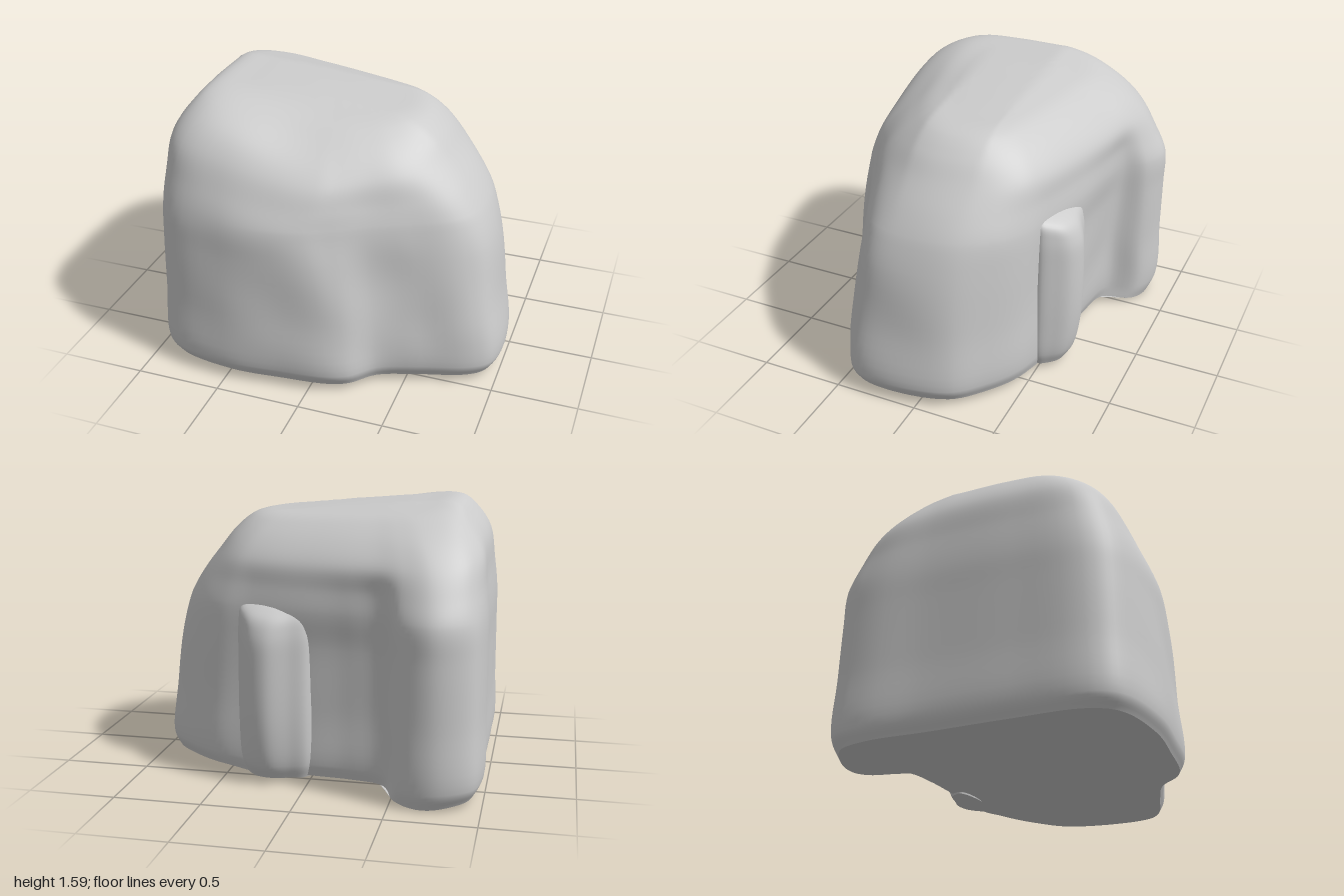
import * as THREE from 'three';

const material = new THREE.MeshStandardMaterial({ color: 0xcccccc });

// Plan outlines as x,z pairs: matching points, back -> right -> front -> left
const foot = [-0.99, -0.62, -0.94, -0.8, -0.75, -0.88, -0.55, -0.82, -0.46, -0.65, -0.25, -0.6, 0, -0.58, 0.35, -0.52,
  0.58, -0.47, 0.78, -0.34, 0.93, -0.18, 1, 0.15, 0.97, 0.39, 0.87, 0.48, 0.6, 0.57, 0.36, 0.66,
  0.23, 0.79, 0.11, 0.84, -0.15, 0.87, -0.5, 0.89, -0.86, 0.81, -0.96, 0.66, -0.98, 0.25, -0.98, -0.25];
const shoulder = [-0.98, -0.6, -0.92, -0.78, -0.73, -0.88, -0.55, -0.82, -0.45, -0.71, -0.25, -0.67, 0, -0.62, 0.33, -0.53,
  0.52, -0.47, 0.68, -0.35, 0.8, -0.16, 0.84, 0.1, 0.81, 0.29, 0.71, 0.41, 0.49, 0.53, 0.27, 0.63,
  0.1, 0.73, -0.04, 0.8, -0.22, 0.84, -0.5, 0.85, -0.83, 0.78, -0.95, 0.62, -0.98, 0.25, -0.98, -0.25];
const upper = [-0.94, -0.5, -0.87, -0.65, -0.7, -0.74, -0.55, -0.73, -0.4, -0.69, -0.22, -0.65, 0, -0.59, 0.3, -0.5,
  0.44, -0.43, 0.55, -0.3, 0.62, -0.12, 0.64, 0.08, 0.61, 0.23, 0.54, 0.35, 0.42, 0.46, 0.26, 0.55,
  0.12, 0.62, 0, 0.67, -0.2, 0.71, -0.5, 0.73, -0.78, 0.68, -0.9, 0.55, -0.94, 0.22, -0.94, -0.22];
const slab = [-0.05, -0.5, -0.01, -0.62, 0.09, -0.66, 0.21, -0.7, 0.31, -0.67, 0.37, -0.6, 0.41, -0.5, 0.18, -0.42];

const mix = (a, b, t) => a.map((v, i) => v + (b[i] - v) * t);
const scale = (a, sx, sz, cx, cz) => a.map((v, i) => (i % 2 ? cz + (v - cz) * sz : cx + (v - cx) * sx));

// Sample a closed smooth outline at height y
function ring(outline, y, count) {
  const pts = [];
  for (let i = 0; i < outline.length; i += 2) pts.push(new THREE.Vector3(outline[i], y, outline[i + 1]));
  const curve = new THREE.CatmullRomCurve3(pts, true, 'centripetal');
  return Array.from({ length: count }, (_, k) => curve.getPoint(k / count));
}

// Skin a grid of rings; warp moves each vertex
function skin(name, rings, warp) {
  const n = rings[0].length, pos = [], idx = [];
  rings.forEach(r => r.forEach(p => pos.push(...warp(p.clone()).toArray())));
  for (let j = 0; j < rings.length - 1; j++) {
    for (let i = 0; i < n; i++) {
      const a = j * n + i, b = j * n + (i + 1) % n;
      idx.push(a, a + n, b, b, a + n, b + n);
    }
  }
  const geo = new THREE.BufferGeometry();
  geo.setAttribute('position', new THREE.Float32BufferAttribute(pos, 3));
  geo.setIndex(idx);
  geo.computeVertexNormals();
  const mesh = new THREE.Mesh(geo, material);
  mesh.name = name;
  return mesh;
}

// Smooth loft through [outline, height] sections
function loft(name, sections, count, rows, warp) {
  const keys = sections.map(([o, y]) => ring(o, y, count));
  const columns = keys[0].map((_, k) => new THREE.CatmullRomCurve3(keys.map(r => r[k]), false, 'centripetal'));
  const rings = Array.from({ length: rows + 1 }, (_, j) => columns.map(c => c.getPoint(j / rows)));
  return skin(name, rings, warp);
}

// Flat base made of shrinking rings
function base(name, outline, y, count, warp) {
  const edge = ring(outline, y, count);
  const mid = edge.reduce((s, p) => s.add(p), new THREE.Vector3()).divideScalar(count);
  const rings = [0, 0.3, 0.6, 0.8, 0.9, 1].map(t => edge.map(p => mid.clone().lerp(p, t)));
  return skin(name, rings, warp);
}

const bump = (p, x, y, z, r) => Math.exp(-((p.x - x) ** 2 + (p.y - y) ** 2 + (p.z - z) ** 2) / (r * r));
const smooth = THREE.MathUtils.smoothstep;

// Sloping top with chamfered back and front right, sagging rear foot, gentle weathering
function weather(p) {
  const up = THREE.MathUtils.clamp((p.y - 1) / 0.5, 0, 1);
  const low = THREE.MathUtils.clamp(1 - p.y / 0.3, 0, 1);
  p.y -= up * (0.085 * p.x + 0.22 * Math.max(0, -p.z - 0.2)
    + 0.28 * Math.max(0, p.z - 0.2) * smooth(p.x, -0.7, 0));
  p.y -= low * (0.06 * bump(p, -0.68, 0.05, -0.76, 0.18) + 0.03 * bump(p, 0.32, 0.05, -0.5, 0.14));
  const side = smooth(p.x, -0.85, -0.5) * smooth(p.y, 0.06, 0.3);
  const wave = 0.005 * Math.sin(7 * p.x + 5 * p.y + 2) * Math.sin(6 * p.y - 8 * p.z);
  p.x += side * wave;
  p.z += side * (wave - 0.025 * bump(p, 0.45, 0.72, 0.55, 0.2) + 0.012 * bump(p, 0.8, 0.35, 0.5, 0.15));
  p.y = Math.max(p.y, 0);
  return p;
}

export function createModel() {
  const group = new THREE.Group();
  group.name = 'boulder';
  const sole = scale(foot, 0.965, 0.96, 0, 0);
  const top = (sx, sz) => scale(upper, sx, sz, -0.22, -0.03);

  // Main stone body, closed at the crown
  group.add(loft('stoneBody', [
    [sole, 0.045],
    [foot, 0.12],
    [mix(foot, shoulder, 0.26), 0.45],
    [mix(foot, shoulder, 0.6), 0.8],
    [shoulder, 1.0],
    [mix(shoulder, upper, 0.42), 1.16],
    [upper, 1.32],
    [top(0.89, 0.85), 1.44],
    [top(0.76, 0.62), 1.52],
    [top(0.5, 0.38), 1.535],
    [top(0.001, 0.001), 1.54],
  ], 144, 60, weather));
  group.add(base('stoneUnderside', sole, 0.045, 144, weather));

  // Upright slab leaning on the back, with a rounded flat top
  const shrink = (sx, sz) => scale(slab, sx, sz, 0.18, -0.5);
  const lean = p => {
    p.y += 0.35 * (p.z + 0.55) * smooth(p.y, 0.7, 1);
    return p;
  };
  group.add(loft('backSlab', [
    [shrink(0.82, 0.6), 0.035],
    [shrink(0.95, 0.82), 0.12],
    [slab, 0.35],
    [slab, 0.72],
    [shrink(0.99, 0.92), 0.91],
    [shrink(0.93, 0.75), 0.99],
    [shrink(0.6, 0.45), 1.02],
    [shrink(0.001, 0.001), 1.03],
  ], 48, 36, lean));
  group.add(base('backSlabUnderside', shrink(0.82, 0.6), 0.035, 48, lean));
  return group;
}
